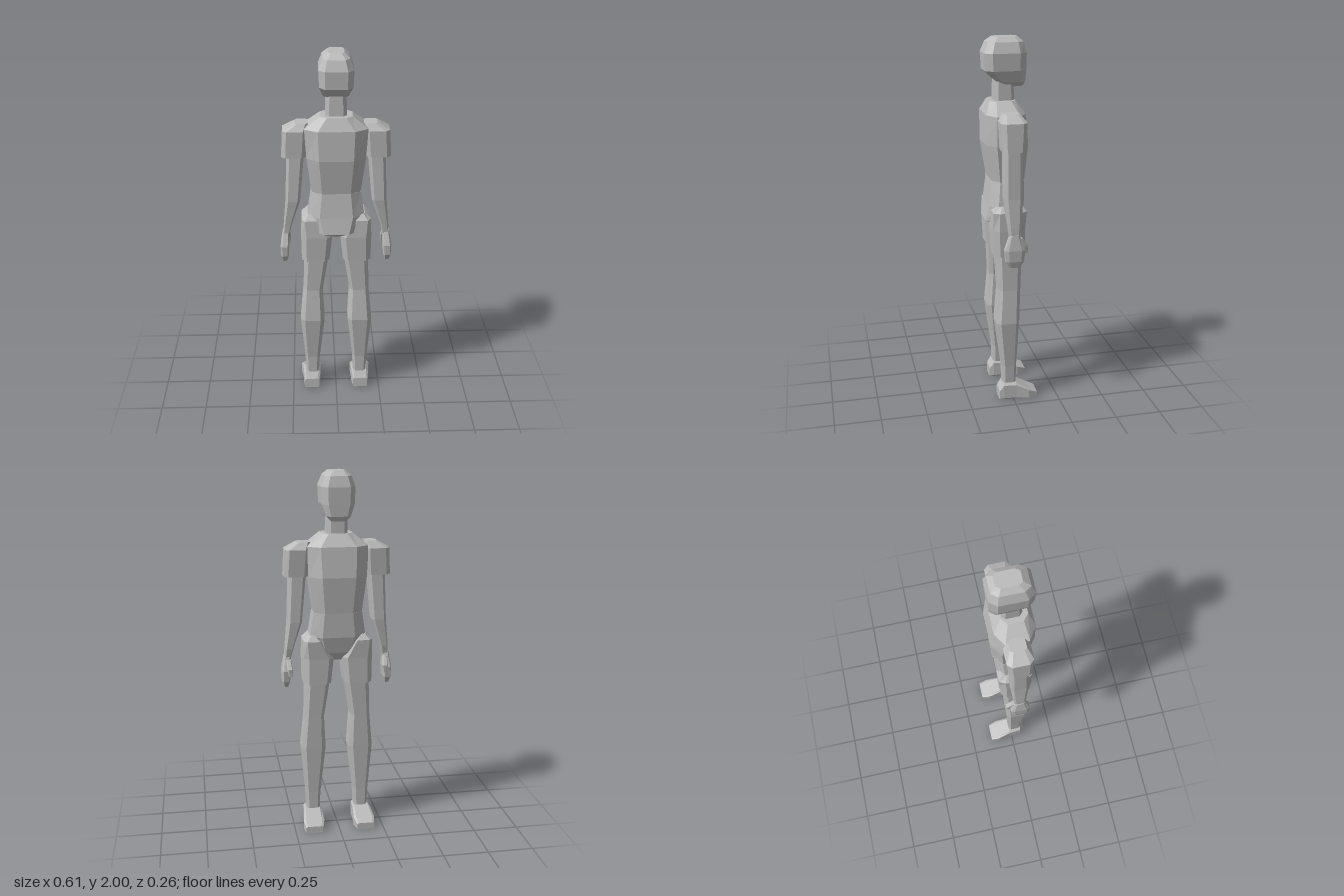
import * as THREE from 'three';

// Lofts chamfered-rectangle sections [y, x0, x1, z0, z1] listed from bottom to top.
function loft(sections, cut = 0.35, side = 1) {
  const rings = sections.map(([y, x0, x1, z0, z1]) => {
    const cx = side * (x0 + x1) / 2, cz = (z0 + z1) / 2;
    const a = (x1 - x0) / 2, b = (z1 - z0) / 2, k = 1 - cut;
    return [[1, -k], [1, k], [k, 1], [-k, 1], [-1, k], [-1, -k], [-k, -1], [k, -1]]
      .map(([u, v]) => [cx + u * a, y, cz + v * b]);
  });
  const pos = [];
  const tri = (...pts) => pts.forEach((p) => pos.push(...p));
  for (let i = 0; i + 1 < rings.length; i++) {
    for (let k = 0; k < 8; k++) {
      const n = (k + 1) % 8, lo = rings[i], hi = rings[i + 1];
      tri(lo[k], hi[k], lo[n]);
      tri(lo[n], hi[k], hi[n]);
    }
  }
  const bottom = rings[0], top = rings[rings.length - 1];
  for (let k = 1; k < 7; k++) {
    tri(bottom[0], bottom[k], bottom[k + 1]);
    tri(top[0], top[k + 1], top[k]);
  }
  const g = new THREE.BufferGeometry();
  g.setAttribute('position', new THREE.Float32BufferAttribute(pos, 3));
  g.computeVertexNormals(); // unshared corners keep every facet flat
  return g;
}

export function createModel() {
  const model = new THREE.Group();
  model.name = 'figure';
  const grey = new THREE.MeshStandardMaterial({ color: 0xbcbcbc });
  grey.name = 'plain grey';
  const add = (name, geometry) => {
    const mesh = new THREE.Mesh(geometry, grey);
    mesh.name = name;
    model.add(mesh);
  };

  // Head and neck; the face looks toward -z
  add('head', loft([
    [1.745, -0.04, 0.04, -0.08, 0.01],
    [1.77, -0.065, 0.065, -0.09, 0.06],
    [1.83, -0.086, 0.086, -0.092, 0.125],
    [1.92, -0.09, 0.09, -0.094, 0.13],
    [1.975, -0.07, 0.07, -0.08, 0.108],
    [2.0, -0.042, 0.042, -0.053, 0.074],
  ]));
  add('neck', loft([
    [1.64, -0.058, 0.058, -0.032, 0.075],
    [1.8, -0.052, 0.052, -0.03, 0.07],
  ]));

  // Torso
  add('chest', loft([
    [1.255, -0.13, 0.13, -0.08, 0.1],
    [1.45, -0.155, 0.155, -0.097, 0.13],
    [1.61, -0.165, 0.165, -0.08, 0.128],
    [1.675, -0.085, 0.085, -0.037, 0.1],
  ], 0.42));
  add('pelvis', loft([
    [0.985, -0.03, 0.03, -0.03, 0.06],
    [1.03, -0.115, 0.115, -0.055, 0.13],
    [1.12, -0.152, 0.152, -0.075, 0.115],
    [1.255, -0.132, 0.132, -0.08, 0.1],
  ], 0.42));

  for (const [label, side] of [['left', 1], ['right', -1]]) {
    // Arm
    add(label + 'Sleeve', loft([
      [1.45, 0.158, 0.287, -0.04, 0.078],
      [1.595, 0.148, 0.279, -0.052, 0.084],
      [1.632, 0.145, 0.215, -0.025, 0.06],
    ], 0.35, side));
    add(label + 'Arm', loft([
      [0.98, 0.256, 0.288, -0.005, 0.045],
      [1.05, 0.24, 0.284, -0.018, 0.052],
      [1.2, 0.192, 0.27, -0.03, 0.068],
      [1.46, 0.168, 0.26, -0.03, 0.066],
    ], 0.35, side));
    add(label + 'Hand', loft([
      [0.835, 0.268, 0.294, -0.008, 0.05],
      [0.87, 0.26, 0.302, -0.028, 0.068],
      [0.93, 0.256, 0.303, -0.035, 0.073],
      [1.01, 0.255, 0.29, -0.008, 0.045],
    ], 0.35, side));
    add(label + 'Thumb', loft([
      [0.905, 0.252, 0.27, -0.053, -0.032],
      [0.945, 0.247, 0.277, -0.056, -0.02],
      [0.99, 0.254, 0.28, -0.025, 0.01],
    ], 0.35, side));

    // Leg
    add(label + 'ShortsLeg', loft([
      [0.855, 0.037, 0.188, -0.062, 0.102],
      [1.0, 0.022, 0.19, -0.066, 0.11],
      [1.1, 0.085, 0.187, -0.073, 0.107],
      [1.13, 0.12, 0.155, -0.05, 0.085],
    ], 0.35, side));
    add(label + 'Leg', loft([
      [0.09, 0.1, 0.173, -0.016, 0.057],
      [0.2, 0.095, 0.178, -0.018, 0.06],
      [0.47, 0.065, 0.2, -0.032, 0.095],
      [0.66, 0.075, 0.182, -0.04, 0.08],
      [0.87, 0.042, 0.175, -0.05, 0.09],
    ], 0.35, side));

    // Foot, lofted from heel to toe and then laid flat
    add(label + 'Foot', loft([
      [-0.08, 0.1, 0.183, 0, 0.06],
      [-0.055, 0.092, 0.188, 0, 0.1],
      [0.015, 0.09, 0.192, 0, 0.098],
      [0.085, 0.085, 0.203, 0, 0.06],
      [0.132, 0.097, 0.195, 0, 0.038],
    ], 0.22, side).rotateX(-Math.PI / 2));
  }
  return model;
}
